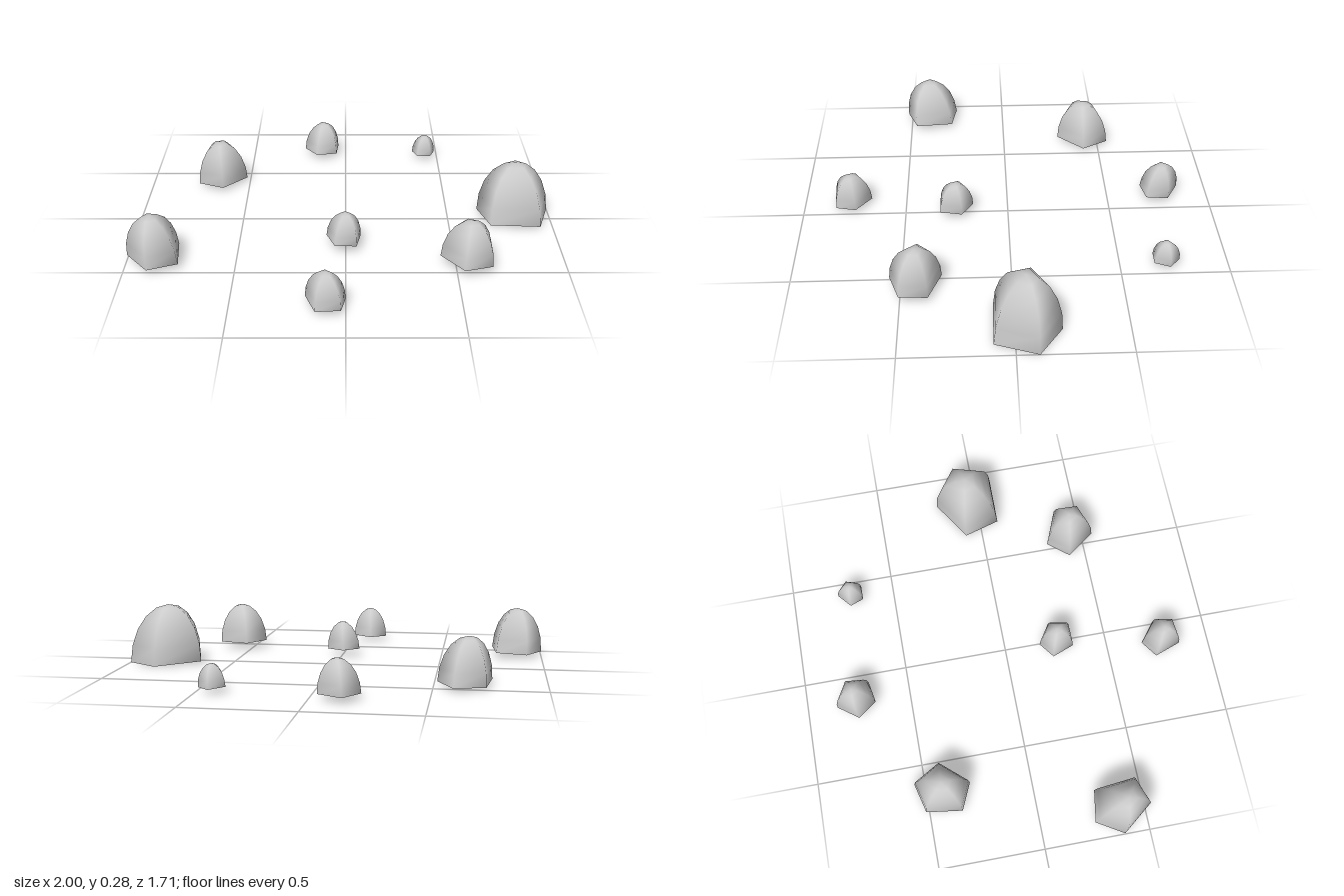
import * as THREE from 'three';

const material = new THREE.MeshStandardMaterial({ color: 0xcccccc, side: THREE.DoubleSide });
const RINGS = 5; // bands from tip to rim, 18 degrees each

// Each stone: tip position, rim height with its slope along x and z, five rim corners [x, z]
const STONES = [
  { tip: [0.82, 0.287, -0.05], rim: [0.009, -0.03, 0.025], corners: [[0.85, -0.205], [1.0, -0.1], [0.94, 0.093], [0.7, 0.09], [0.65, -0.083]] },
  { tip: [-0.65, 0.226, -0.42], rim: [0.02, 0, 0.03], corners: [[-0.73, -0.515], [-0.59, -0.55], [-0.515, -0.42], [-0.63, -0.29], [-0.755, -0.345]] },
  { tip: [-0.88, 0.24, 0.4], rim: [0.026, 0.02, 0.01], corners: [[-0.925, 0.255], [-0.775, 0.28], [-0.755, 0.47], [-0.89, 0.52], [-1.0, 0.38]] },
  { tip: [0.565, 0.23, 0.43], rim: [0.038, -0.03, 0.02], corners: [[0.515, 0.315], [0.665, 0.375], [0.66, 0.505], [0.53, 0.55], [0.43, 0.415]] },
  { tip: [0, 0.175, 0.255], rim: [0.04, -0.02, 0.01], corners: [[-0.015, 0.17], [0.07, 0.225], [0.05, 0.33], [-0.05, 0.33], [-0.09, 0.225]] },
  { tip: [-0.085, 0.175, 0.77], rim: [0.027, -0.01, 0], corners: [[-0.095, 0.67], [0, 0.745], [-0.02, 0.84], [-0.13, 0.85], [-0.175, 0.725]] },
  { tip: [-0.12, 0.18, -0.765], rim: [0.03, 0, 0.01], corners: [[-0.15, -0.855], [-0.04, -0.795], [-0.05, -0.69], [-0.155, -0.67], [-0.22, -0.76]] },
  { tip: [0.43, 0.13, -0.71], rim: [0.03, -0.03, 0.04], corners: [[0.43, -0.775], [0.485, -0.725], [0.46, -0.655], [0.39, -0.655], [0.365, -0.72]] },
];

// Open five-sided dome with a quarter-circle profile, leaning towards its tip
function domeGeometry({ tip, rim, corners }) {
  const n = corners.length;
  const cx = corners.reduce((s, c) => s + c[0], 0) / n;
  const cz = corners.reduce((s, c) => s + c[1], 0) / n;
  const positions = [...tip];
  const index = [];
  for (let ring = 1; ring <= RINGS; ring++) {
    const angle = (ring / RINGS) * Math.PI / 2;
    const r = Math.sin(angle), h = Math.cos(angle);
    corners.forEach(([x, z], i) => {
      const dx = (x - cx) * r, dz = (z - cz) * r;
      positions.push(
        cx + (tip[0] - cx) * h + dx,
        rim[0] + (tip[1] - rim[0]) * h + rim[1] * dx + rim[2] * dz,
        cz + (tip[2] - cz) * h + dz
      );
      const next = (i + 1) % n;
      const a = 1 + (ring - 1) * n + i, b = 1 + (ring - 1) * n + next;
      if (ring === 1) index.push(0, b, a);
      else index.push(a - n, b - n, b, a - n, b, a);
    });
  }
  const geometry = new THREE.BufferGeometry();
  geometry.setAttribute('position', new THREE.Float32BufferAttribute(positions, 3));
  geometry.setIndex(index);
  geometry.computeVertexNormals();
  return geometry;
}

export function createModel() {
  const group = new THREE.Group();
  group.name = 'scatteredStones';
  STONES.forEach((stone, i) => {
    const mesh = new THREE.Mesh(domeGeometry(stone), material);
    mesh.name = `stone${i + 1}`;
    group.add(mesh);
  });
  return group;
}
